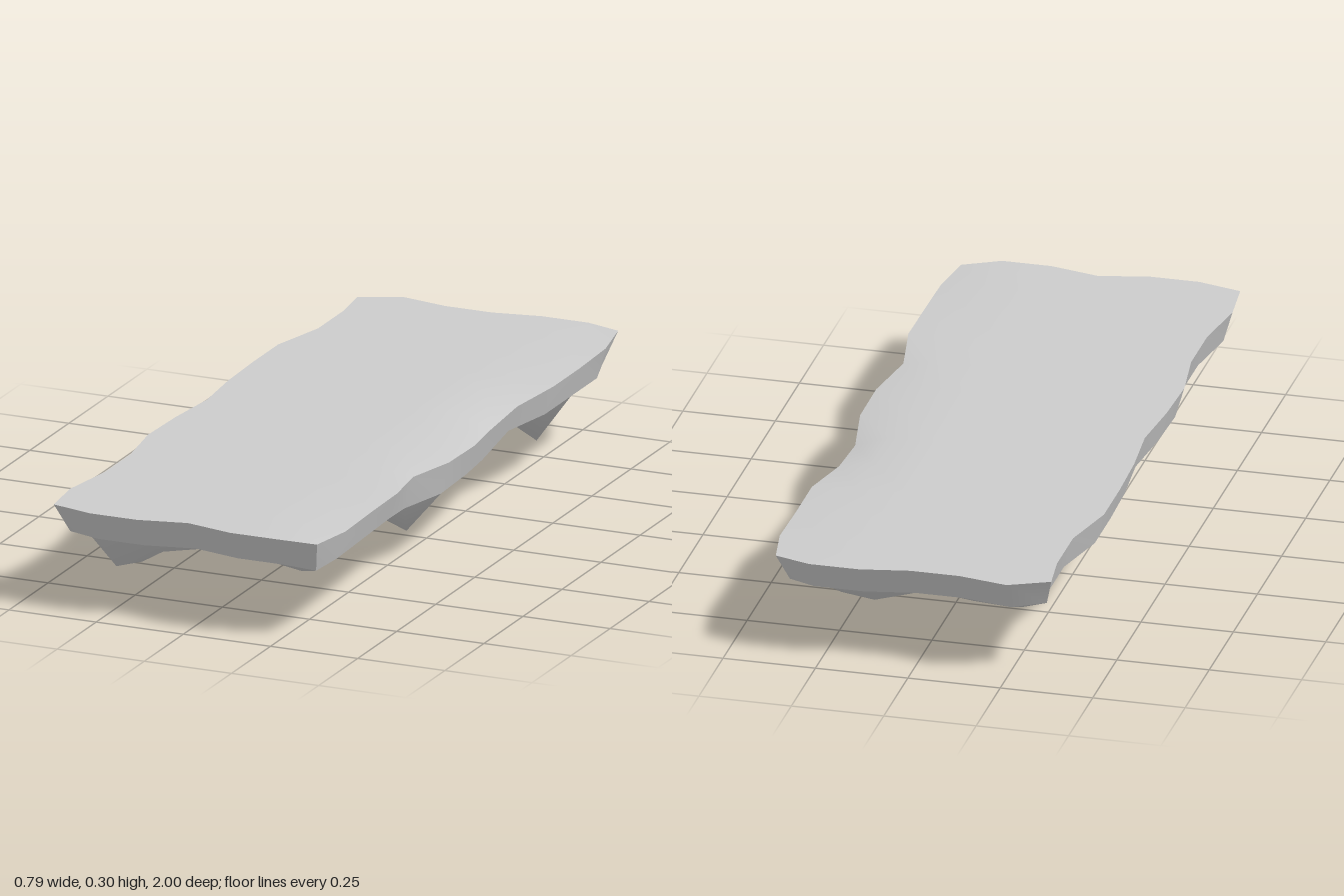
import * as THREE from 'three';

const NX = 6, NZ = 12;

// Wavy outline of the top, listed back to front (sides) and -x to +x (ends)
const leftX = [-0.375, -0.36, -0.36, -0.4, -0.4, -0.395, -0.38, -0.395, -0.4, -0.375, -0.375, -0.4, -0.385];
const rightX = [0.365, 0.39, 0.39, 0.39, 0.36, 0.36, 0.39, 0.39, 0.36, 0.39, 0.39, 0.39, 0.37];
const backZ = [-0.95, -1, -0.975, -0.975, -1, -1, -0.97];
const frontZ = [0.97, 1, 1, 0.97, 1, 1, 0.97];

// Slight dips of the top along the +x edge, and height of the lower rim
const dipRight = [0, 0.005, 0.01, 0.01, 0.02, 0.033, 0.022, 0.02, 0.015, 0.006, 0.008, 0.012, 0.01];
const rimRight = [0.215, 0.21, 0.21, 0.21, 0.21, 0.18, 0.195, 0.19, 0.195, 0.22, 0.215, 0.21, 0.2];

// Hanging points of rock: [column, row, height]
const peaks = [
  [2, 6, 0.003], [3, 4, 0.012], [5, 7, 0.075], [5, 2, 0.075], [1, 10, 0.068],
  [1, 11, 0.105], [4, 3, 0.12], [4, 1, 0.14], [4, 10, 0.14], [3, 11, 0.19],
];

function topPoint(i, j) {
  let x = -0.4 + (0.8 * i) / NX, z = -1 + (2 * j) / NZ, y = 0.3;
  if (i === 0) x = leftX[j];
  if (i === NX) { x = rightX[j]; y -= dipRight[j]; }
  if (j === 0) z = backZ[i];
  if (j === NZ) z = frontZ[i];
  return new THREE.Vector3(x, y, z);
}

function bottomPoint(i, j) {
  const p = topPoint(i, j);
  const onSide = i === 0 || i === NX, onEnd = j === 0 || j === NZ;
  if (onSide) p.x -= Math.sign(p.x) * 0.025;
  if (onEnd) p.z -= Math.sign(p.z) * 0.05;
  if (i === NX) p.y = rimRight[j];
  else if (onSide || onEnd) p.y = 0.215;
  else {
    const peak = peaks.find(([a, b]) => a === i && b === j);
    p.y = peak ? peak[2] : 0.172 + 0.012 * Math.sin(i * 2.1 + j * 1.7);
  }
  return p;
}

// Smooth surface through rows of points
function gridMesh(name, rows, material, flip = false) {
  const n = rows[0].length, index = [];
  for (let j = 0; j < rows.length - 1; j++) {
    for (let i = 0; i < n - 1; i++) {
      const a = j * n + i, b = a + n, c = b + 1, d = a + 1;
      if (flip) index.push(a, c, b, a, d, c);
      else index.push(a, b, c, a, c, d);
    }
  }
  const geometry = new THREE.BufferGeometry().setFromPoints(rows.flat());
  geometry.setIndex(index);
  geometry.computeVertexNormals();
  const mesh = new THREE.Mesh(geometry, material);
  mesh.name = name;
  return mesh;
}

export function createModel() {
  const group = new THREE.Group();
  group.name = 'rockPlatform';
  const material = new THREE.MeshStandardMaterial({ color: 0xcccccc });
  const lattice = (fn) => Array.from({ length: NZ + 1 }, (_, j) =>
    Array.from({ length: NX + 1 }, (_, i) => fn(i, j)));
  const top = lattice(topPoint), bottom = lattice(bottomPoint);

  group.add(gridMesh('topSurface', top, material));
  group.add(gridMesh('rockyUnderside', bottom, material, true));

  // Sloping walls, each followed counterclockwise as seen from above
  const walls = {
    frontWall: (g) => g[NZ],
    rightWall: (g) => g.map((row) => row[NX]).reverse(),
    backWall: (g) => [...g[0]].reverse(),
    leftWall: (g) => g.map((row) => row[0]),
  };
  for (const [name, edge] of Object.entries(walls)) {
    group.add(gridMesh(name, [edge(top), edge(bottom)], material));
  }
  return group;
}
